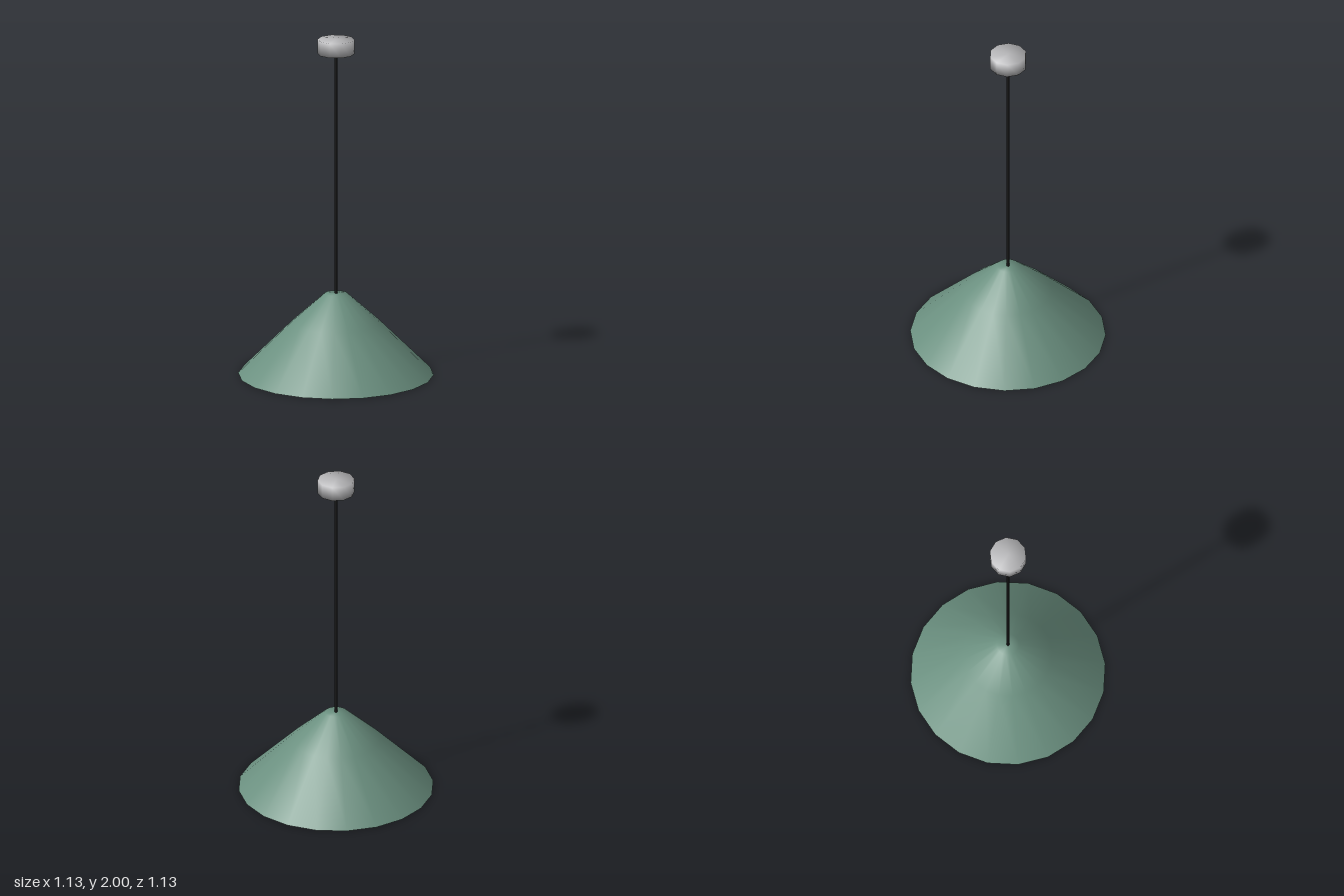
import * as THREE from 'three';

const material = (name, color, side = THREE.FrontSide) => {
  const m = new THREE.MeshStandardMaterial({ color, side });
  m.name = name;
  return m;
};

// Smooth turned part; the quarter turn puts a corner on the x axis
function turned(name, profile, sides, mat) {
  const geometry = new THREE.LatheGeometry(
    profile.map(([r, y]) => new THREE.Vector2(r, y)), sides);
  geometry.rotateY(Math.PI / 2);
  const mesh = new THREE.Mesh(geometry, mat);
  mesh.name = name;
  return mesh;
}

export function createModel() {
  const group = new THREE.Group();
  group.name = 'pendantLamp';

  const green = material('sage green', 0x6b9080, THREE.DoubleSide);
  const grey = material('light grey', 0xb8b8ba);
  const black = material('cord black', 0x222222);
  const cream = material('bulb cream', 0xe8dcc4);

  // Conical shade, open below and closed at its small flat top
  group.add(turned('shade', [[0.565, 0], [0.255, 0.31], [0.065, 0.482], [0, 0.482]], 20, green));

  // Ceiling canopy
  group.add(turned('canopy', [[0, 1.915], [0.107, 1.915], [0.107, 2], [0, 2]], 10, grey));

  // Cord from the canopy through the shade to the bulb
  const top = 1.93, bottom = 0.27;
  const cord = new THREE.Mesh(new THREE.CylinderGeometry(0.008, 0.008, top - bottom, 8), black);
  cord.position.y = (top + bottom) / 2;
  cord.name = 'cord';
  group.add(cord);

  // Round bulb
  const bulb = new THREE.Mesh(new THREE.SphereGeometry(0.105, 16, 12), cream);
  bulb.position.y = 0.176;
  bulb.name = 'bulb';
  group.add(bulb);

  return group;
}
